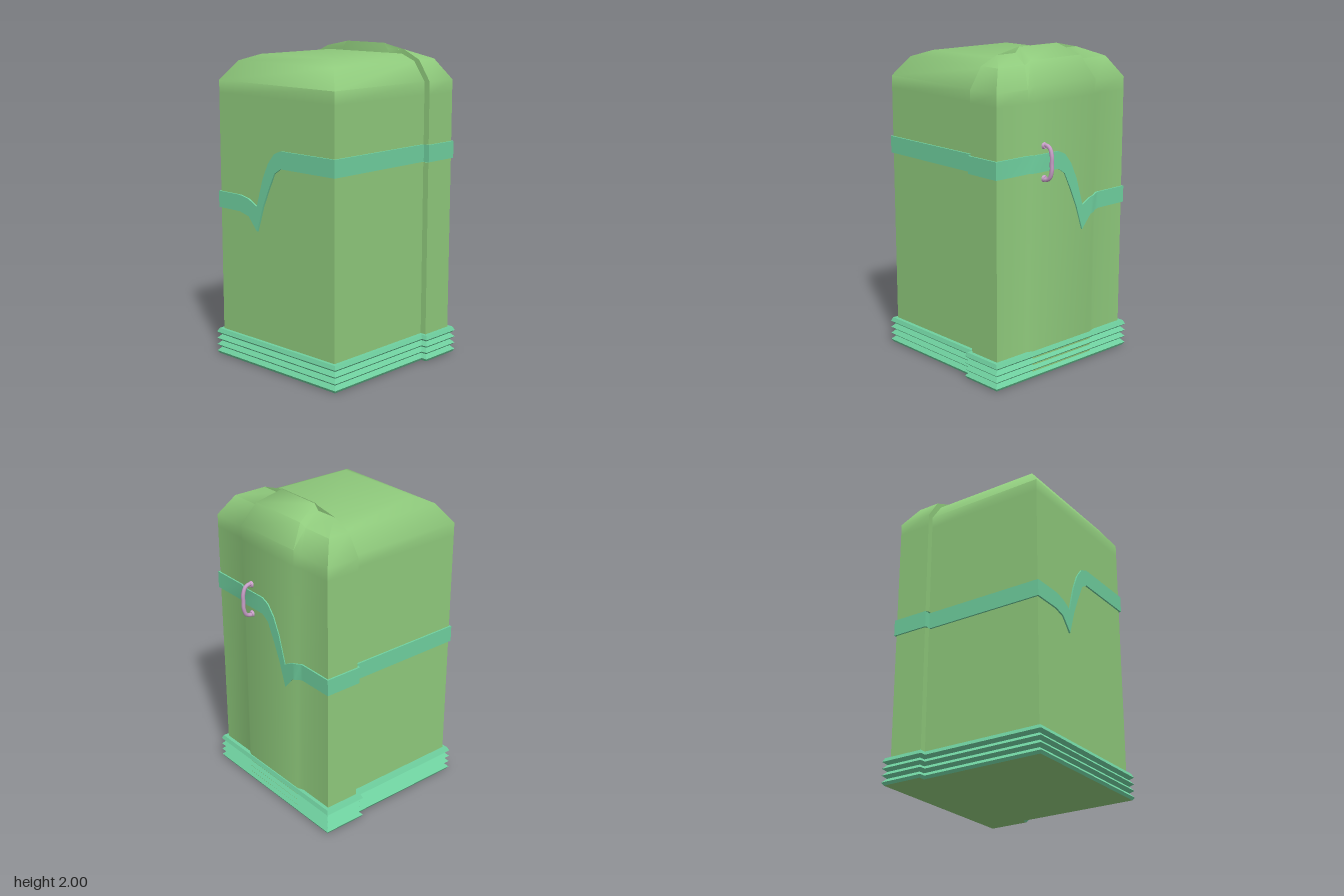
import * as THREE from 'three';
import { toCreasedNormals } from 'three/addons/utils/BufferGeometryUtils.js';

const bodyMat = new THREE.MeshStandardMaterial({ color: 0x8fca7c });
const trimMat = new THREE.MeshStandardMaterial({ color: 0x6fd09f });
const ringMat = new THREE.MeshStandardMaterial({ color: 0xc9a0c9 });

// Skin a stack of closed rings of [x, y, z], listed counter-clockwise seen from above.
function loft(rings, crease, { top = false, bottom = false } = {}) {
  const n = rings[0].length;
  const index = [];
  for (let r = 0; r < rings.length - 1; r++) {
    for (let i = 0; i < n; i++) {
      const a = r * n + i, b = r * n + (i + 1) % n;
      index.push(a, b, b + n, a, b + n, a + n);
    }
  }
  const cap = (r, flip) => {
    const flat = rings[r].map(([x, , z]) => new THREE.Vector2(x, -z));
    for (const [a, b, c] of THREE.ShapeUtils.triangulateShape(flat, [])) {
      const o = r * n;
      index.push(o + a, o + (flip ? c : b), o + (flip ? b : c));
    }
  };
  if (top) cap(rings.length - 1, false);
  if (bottom) cap(0, true);
  const g = new THREE.BufferGeometry();
  g.setAttribute('position', new THREE.Float32BufferAttribute(rings.flat(2), 3));
  g.setIndex(index);
  return toCreasedNormals(g, crease);
}

// Outline of the whole case, pushed out by o, with the wider rear section.
function footprint(o, y) {
  const w = 0.495 + o, W = 0.535 + o, s = -0.26 + o;
  return [[-w, y, 0.54 + o], [w, y, 0.54 + o], [w, y, s], [W, y, s], [W, y, -0.48 - o],
    [-W, y, -0.48 - o], [-W, y, s], [-w, y, s]];
}

// Rear section: [y, half width, back z, bump y, bump half width, flank half width, bump back z, front z]
const rearLevels = [
  [0.01, 0.535, -0.48, 0.01, 0.25, 0.29, -0.497, -0.255],
  [1.7, 0.535, -0.48, 1.7, 0.25, 0.29, -0.497, -0.255],
  [1.78, 0.535, -0.48, 1.8, 0.25, 0.29, -0.497, -0.255],
  [1.91, 0.45, -0.4, 1.937, 0.21, 0.24, -0.415, -0.255],
  [1.965, 0.33, -0.265, 2.0, 0.157, 0.19, -0.265, -0.258],
];
const rearRing = ([y, w, zb, by, bx, fx, bz, zf]) => [
  [-w, y, zf], [-fx, y, zf], [-bx, by, zf], [bx, by, zf], [fx, y, zf], [w, y, zf],
  [w, y, zb], [fx, y, zb], [bx, by, bz], [-bx, by, bz], [-fx, y, zb], [-w, y, zb]];

// Belt edges across the width: [x, bottom, top]
const beltProfile = [
  [-0.6, 0.975, 1.08], [-0.31, 0.975, 1.08], [-0.23, 0.955, 1.065], [-0.155, 0.87, 1.025],
  [-0.1, 1.03, 1.2], [-0.05, 1.14, 1.305], [0.005, 1.25, 1.37], [0.06, 1.285, 1.393], [0.6, 1.285, 1.393],
];
function beltEdge(x, k) {
  const i = Math.max(1, beltProfile.findIndex((p) => p[0] >= x));
  const a = beltProfile[i - 1], b = beltProfile[i];
  return THREE.MathUtils.lerp(a[k], b[k], (x - a[0]) / (b[0] - a[0]));
}
function beltGeometry() {
  const xs = beltProfile.slice(1, -1).map((p) => p[0]);
  const backXs = [...xs, -0.25, -0.29, 0.25, 0.29].sort((a, b) => b - a);
  const backZ = (x) => -0.505 + 0.015 * THREE.MathUtils.smoothstep(Math.abs(x), 0.25, 0.29);
  const path = [
    [-0.506, 0.554], ...xs.map((x) => [x, 0.554]), [0.506, 0.554],
    [0.506, -0.245], [0.546, -0.245], [0.546, -0.49],
    ...backXs.map((x) => [x, backZ(x)]),
    [-0.546, -0.49], [-0.546, -0.245], [-0.506, -0.245],
  ];
  const ring = (k, inset) => path.map(([x, z]) =>
    [x * (1 - inset), beltEdge(x, k), z * (1 - inset)]);
  return loft([ring(1, 0.04), ring(1, 0), ring(2, 0), ring(2, 0.04)], 0.5);
}

export function createModel() {
  const model = new THREE.Group();
  const add = (name, geometry, material) => {
    const mesh = new THREE.Mesh(geometry, material);
    mesh.name = name;
    model.add(mesh);
    return mesh;
  };

  // Main case with a pillow-shaped top: [y, inset]
  const bodyRings = [[0.01, 0], [1.7, 0], [1.78, 0], [1.9, 0.085], [1.94, 0.185]].map(([y, d]) => {
    const w = 0.495 - d, f = 0.543 - d;
    return [[-w, y, -0.3], [-w, y, f], [w, y, f], [w, y, -0.3]];
  });
  add('mainCase', loft(bodyRings, 1.3, { top: true }), bodyMat);

  // Wider rear section with its raised centre panel
  add('rearSection', loft(rearLevels.map(rearRing), 0.95, { top: true }), bodyMat);

  // Ribbed base skirt
  const skirt = [footprint(0.024, 0)];
  for (let i = 0; i < 4; i++) {
    const y = 0.0425 * i;
    skirt.push(footprint(0.035, y + 0.018));
    skirt.push(footprint(i < 3 ? 0.012 : 0.024, y + 0.0425));
  }
  skirt.push(footprint(-0.005, 0.17));
  add('baseSkirt', loft(skirt, 0.3), trimMat);

  // Underside
  add('underside', loft([footprint(0.024, 0), footprint(0.01, 0.005)], 0.3, { bottom: true }), bodyMat);

  // Wavy belt
  add('belt', beltGeometry(), trimMat);

  // Rear pull ring, a D-shaped tube
  const loop = new THREE.CatmullRomCurve3([
    [1.435, -0.485], [1.445, -0.515], [1.432, -0.545], [1.39, -0.562], [1.34, -0.563],
    [1.29, -0.562], [1.25, -0.545], [1.237, -0.515], [1.247, -0.485],
  ].map(([y, z]) => new THREE.Vector3(0.173, y, z)));
  add('pullRing', new THREE.TubeGeometry(loop, 32, 0.0125, 8), ringMat);
  for (const y of [1.44, 1.242]) {
    const foot = add('ringFoot', new THREE.CylinderGeometry(0.017, 0.022, 0.014, 10), ringMat);
    foot.rotation.x = -Math.PI / 2;
    foot.position.set(0.173, y, -0.503);
  }
  return model;
}
